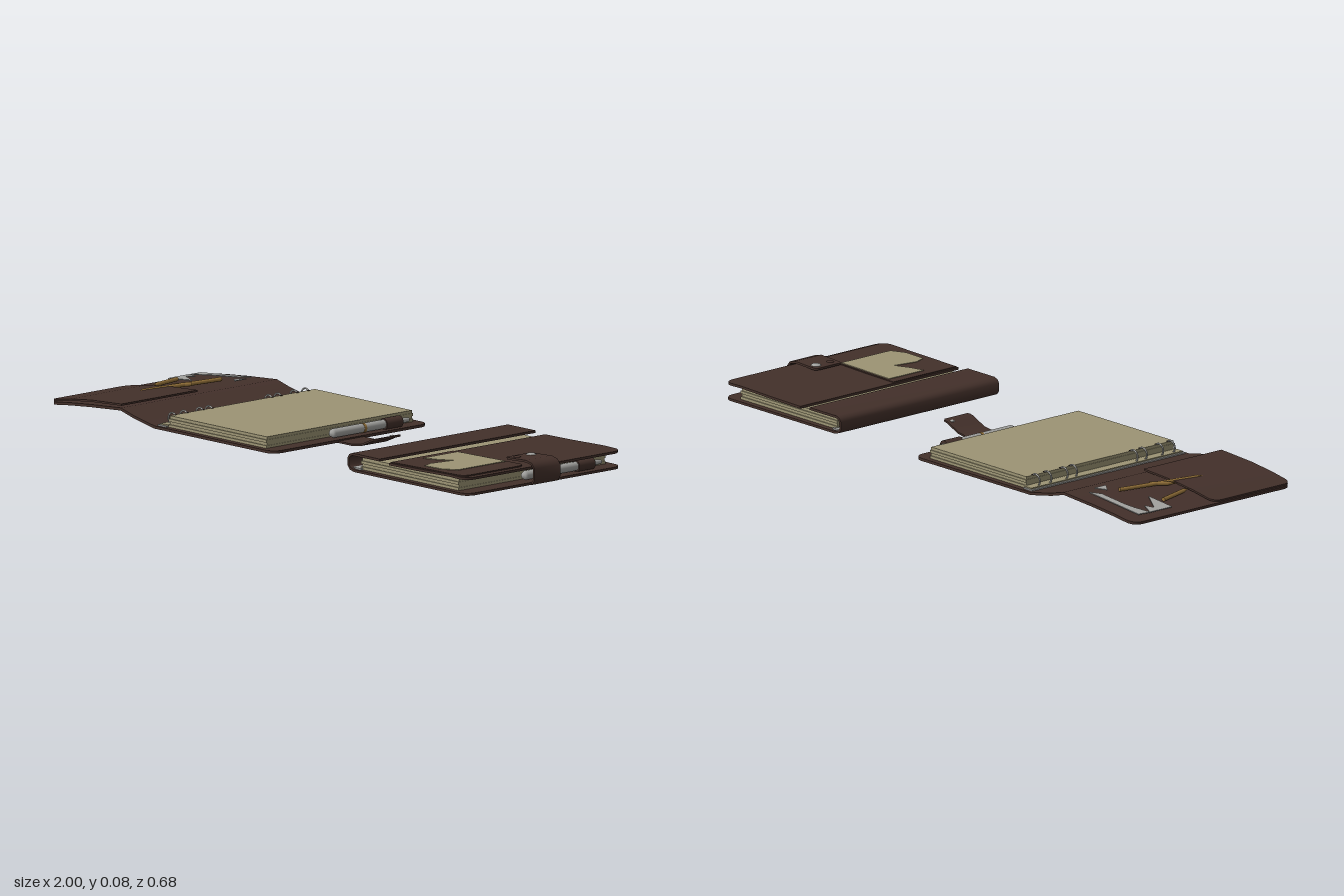
import * as THREE from 'three';
import { toCreasedNormals } from 'three/addons/utils/BufferGeometryUtils.js';

const mat = (name, color) => Object.assign(new THREE.MeshStandardMaterial({ color }), { name });

export function createModel() {
  const leather = mat('brown leather', 0x43302a);
  const paper = mat('cream paper', 0x9c9474);
  const metal = mat('grey metal', 0xa3a3a0);
  const brass = mat('brass', 0x96733a);
  const dark = mat('dark holes', 0x2a1f18);

  const add = (parent, name, geo, m, x = 0, y = 0, z = 0) => {
    const mesh = new THREE.Mesh(geo, m);
    mesh.name = name;
    mesh.position.set(x, y, z);
    parent.add(mesh);
    return mesh;
  };
  const group = (parent, name) => {
    const g = new THREE.Group();
    g.name = name;
    parent.add(g);
    return g;
  };

  // Bent leather sheet: an x/y profile with thickness, spanning z0..z1, with rounded end corners
  function sheet(profile, z0, z1, t, r0 = 0, r1 = 0) {
    const len = [0];
    for (let i = 1; i < profile.length; i++) {
      len.push(len[i - 1] + Math.hypot(profile[i][0] - profile[i - 1][0], profile[i][1] - profile[i - 1][1]));
    }
    const total = len[len.length - 1];
    const stations = new Set(len);
    for (let k = 0; k < 6; k++) {
      const f = 1 - Math.cos((k / 5) * Math.PI / 2);
      if (r0) stations.add(r0 * f);
      if (r1) stations.add(total - r1 * f);
    }
    const list = [...stations].sort((a, b) => a - b).filter((s, i, a) => i === 0 || s - a[i - 1] > 1e-5);
    const at = (s) => {
      let i = 1;
      while (i < len.length - 1 && len[i] < s) i++;
      const f = (s - len[i - 1]) / (len[i] - len[i - 1]);
      return [0, 1].map((c) => profile[i - 1][c] + f * (profile[i][c] - profile[i - 1][c]));
    };
    const inset = (d, r) => (d < r ? r - Math.sqrt(Math.max(0, r * r - (r - d) ** 2)) : 0);
    const pos = [], idx = [];
    list.forEach((s, i) => {
      const p = at(s), a = at(Math.max(0, s - 0.004)), b = at(Math.min(total, s + 0.004));
      const l = Math.hypot(b[0] - a[0], b[1] - a[1]);
      const nx = -(b[1] - a[1]) / l * t / 2, ny = (b[0] - a[0]) / l * t / 2;
      const c = inset(s, r0) + inset(total - s, r1);
      pos.push(p[0] + nx, p[1] + ny, z1 - c, p[0] + nx, p[1] + ny, z0 + c,
        p[0] - nx, p[1] - ny, z0 + c, p[0] - nx, p[1] - ny, z1 - c);
      if (i === 0) return;
      for (let k = 0; k < 4; k++) {
        const A = (i - 1) * 4 + k, D = (i - 1) * 4 + (k + 1) % 4;
        idx.push(A, A + 4, D + 4, A, D + 4, D);
      }
    });
    const e = (list.length - 1) * 4;
    idx.push(0, 1, 2, 0, 2, 3, e, e + 2, e + 1, e, e + 3, e + 2);
    const g = new THREE.BufferGeometry();
    g.setAttribute('position', new THREE.Float32BufferAttribute(pos, 3));
    g.setIndex(idx);
    return toCreasedNormals(g, 0.7);
  }

  // Thin plate lying flat, outlined by x/z points
  function plate(points, t = 0.003) {
    const s = new THREE.Shape(points.map(([x, z]) => new THREE.Vector2(x, z)));
    return new THREE.ExtrudeGeometry(s, { depth: t, bevelEnabled: false }).rotateX(Math.PI / 2);
  }

  // Paper block made of stacked leaves
  function pages(parent, x0, x1) {
    const g = group(parent, 'pages');
    for (let i = 0; i < 4; i++) {
      const d = i % 2 ? 0.004 : 0;
      add(g, 'leaves', new THREE.BoxGeometry(x1 - x0 - d, 0.0095, 0.64 - d * 2), paper,
        (x0 + x1) / 2, 0.0175 + i * 0.0095, -0.005);
    }
    return g;
  }

  // Binder rings and their backing strip
  function rings(parent, x) {
    const g = group(parent, 'binderRings');
    add(g, 'ringPlate', new THREE.BoxGeometry(0.04, 0.006, 0.66), metal, x, 0.015, -0.005);
    for (const side of [-1, 1]) for (const z of [0.13, 0.17, 0.24, 0.29]) {
      add(g, 'ring', new THREE.TorusGeometry(0.02, 0.003, 6, 20), metal, x + 0.012, 0.036, side * z);
      add(g, 'punchHole', new THREE.CylinderGeometry(0.005, 0.005, 0.002, 10), dark, x + 0.026, 0.0512, side * z);
    }
  }

  // Pen lying along z with its leather loop
  function pen(parent, x) {
    const g = group(parent, 'pen');
    const profile = [[0, -0.28], [0.007, -0.278], [0.011, -0.22], [0.015, -0.16], [0.015, 0.05], [0.011, 0.058], [0, 0.06]];
    add(g, 'penBody', new THREE.LatheGeometry(profile.map(([r, y]) => new THREE.Vector2(r, y)), 18)
      .rotateX(Math.PI / 2), metal, x, 0.031, 0);
    add(g, 'penBand', new THREE.CylinderGeometry(0.0158, 0.0158, 0.01, 18).rotateX(Math.PI / 2), brass, x, 0.031, -0.08);
    add(g, 'penLoop', new THREE.CylinderGeometry(0.019, 0.019, 0.07, 18).rotateX(Math.PI / 2), leather, x, 0.031, -0.205);
  }

  function snap(parent, x, y, z, r = 0.013) {
    const dome = new THREE.SphereGeometry(r, 14, 6, 0, Math.PI * 2, 0, Math.PI / 2).scale(1, 0.45, 1);
    add(parent, 'snapButton', dome, metal, x, y, z);
  }

  const root = new THREE.Group();
  root.name = 'plannerPair';

  // Open planner
  const open = group(root, 'openPlanner');
  add(open, 'openCover', sheet([[-1, 0.013], [-0.9, 0.025], [-0.8, 0.034], [-0.66, 0.044], [-0.6, 0.028], [-0.5, 0.009],
    [0.065, 0.009]], -0.345, 0.335, 0.009, 0.035, 0.035), leather);
  pages(open, -0.455, 0.01);
  add(open, 'marginStrip', new THREE.BoxGeometry(0.035, 0.004, 0.65), paper, -0.47, 0.02, -0.005);
  rings(open, -0.475);
  pen(open, 0.038);
  add(open, 'openStrap', sheet([[0.03, 0.006], [0.13, 0.006], [0.17, 0.012], [0.205, 0.027], [0.225, 0.036], [0.245, 0.04]],
    -0.06, 0.05, 0.006, 0, 0.01), leather);
  snap(open, 0.222, 0.037, -0.04, 0.009);

  // Pocket, cards and pencils on the inside of the tilted front cover
  const inside = group(open, 'coverInside');
  inside.position.set(-1, 0.02, 0);
  inside.rotation.z = 0.093;
  add(inside, 'pocket', sheet([[0.002, 0.002], [0.1, 0.009], [0.2, 0.011], [0.342, 0.006]], 0, 0.333, 0.006, 0.03, 0), leather);
  const cards = [
    [[0.035, -0.295], [0.275, -0.295], [0.24, -0.27], [0.13, -0.27], [0.09, -0.265], [0.03, -0.25]],
    [[0.03, -0.25], [0.085, -0.225], [0.055, -0.21], [0.145, -0.155], [0.03, -0.155]],
    [[0.26, -0.23], [0.295, -0.255], [0.295, -0.205]],
  ];
  for (const c of cards) add(inside, 'card', plate(c), metal, 0, 0.009, 0);
  const pencils = [[0.09, -0.14, 0.125, 0.0], [0.235, -0.2, 0.185, 0.125], [0.225, -0.08, 0.18, 0.0]];
  for (const [x0, z0, x1, z1] of pencils) {
    const L = Math.hypot(x1 - x0, z1 - z0);
    const p = group(inside, 'pencil');
    p.position.set((x0 + x1) / 2, 0.011, (z0 + z1) / 2);
    p.rotation.y = Math.atan2(x1 - x0, z1 - z0);
    add(p, 'pencilShaft', new THREE.CylinderGeometry(0.007, 0.007, L - 0.03, 8).rotateX(Math.PI / 2), brass, 0, 0, -0.015);
    add(p, 'pencilTip', new THREE.ConeGeometry(0.007, 0.03, 8).rotateX(Math.PI / 2), brass, 0, 0, L / 2 - 0.015);
  }

  // Closed planner
  const closed = group(root, 'closedPlanner');
  add(closed, 'backCoverAndSpine', sheet([[0.985, 0.009], [0.45, 0.009], [0.43, 0.014], [0.422, 0.024], [0.422, 0.048],
    [0.428, 0.057], [0.44, 0.062], [0.57, 0.062]], -0.345, 0.335, 0.008, 0.035, 0), leather);
  add(closed, 'frontCover', sheet([[0.615, 0.056], [0.75, 0.058], [0.9, 0.062], [0.983, 0.06]],
    -0.345, 0.335, 0.008, 0, 0.035), leather);
  pages(closed, 0.46, 0.925);
  rings(closed, 0.45);
  pen(closed, 0.952);
  add(closed, 'frontPocket', sheet([[0.62, 0.061], [0.78, 0.064], [0.965, 0.067]], 0.06, 0.33, 0.004, 0, 0.03), leather);
  const label = add(closed, 'pocketCard', plate([[0, 0], [0.23, 0], [0.23, 0.21], [0.18, 0.235], [0.1, 0.235],
    [0.085, 0.195], [0.1, 0.11], [0.05, 0.135], [0, 0.15]]), paper, 0.65, 0.0657, 0.068);
  label.rotation.z = 0.018;

  // Closing strap wrapped around the fore edge
  add(closed, 'closedStrap', sheet([[0.86, 0.074], [0.96, 0.078], [0.985, 0.072], [0.996, 0.058], [0.996, 0.022],
    [0.986, 0.008], [0.965, 0.004], [0.9, 0.004]], -0.06, 0.053, 0.007, 0.012, 0), leather);
  snap(closed, 0.89, 0.077, -0.033, 0.017);
  add(closed, 'strapStud', new THREE.SphereGeometry(0.013, 14, 6, 0, Math.PI * 2, 0, Math.PI / 2).scale(1, 0.5, 1),
    leather, 0.89, 0.077, 0.028);

  return root;
}
